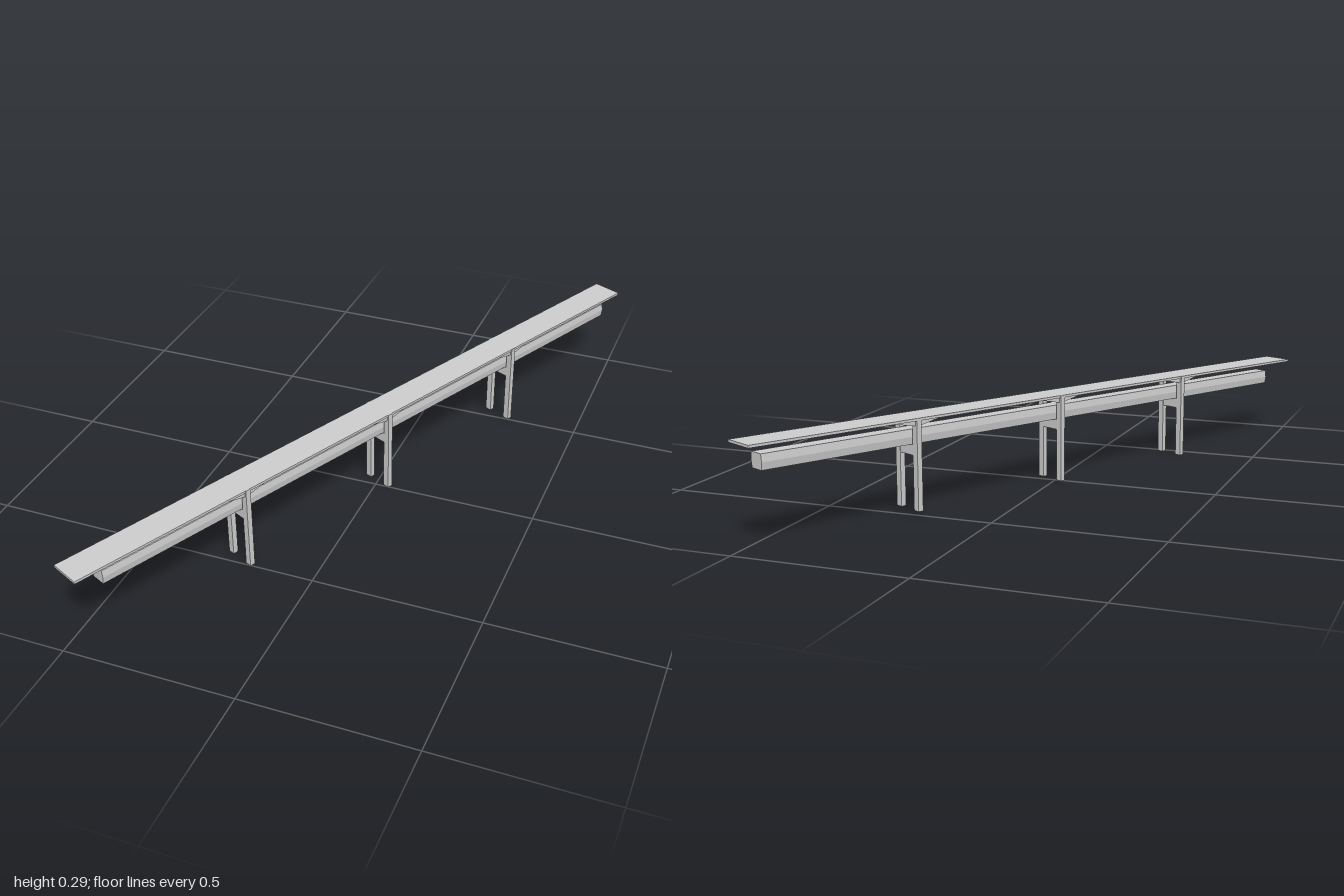
import * as THREE from 'three';

const SLOPE = 0.0178; // rise per unit of length, towards the back
const DECK_TOP = 0.2715, DECK_THICK = 0.0075;

export function createModel() {
  const model = new THREE.Group();
  const bridge = new THREE.Group();
  bridge.name = 'bridge';
  bridge.rotation.y = -0.4524; // the span runs diagonally
  model.add(bridge);

  const material = new THREE.MeshStandardMaterial({ color: 0xcccccc, flatShading: true });
  const incline = new THREE.Matrix4().set(1, 0, 0, 0, 0, 1, -SLOPE, 0, 0, 0, 1, 0, 0, 0, 0, 1);

  function add(parent, name, geometry, x = 0, y = 0, z = 0) {
    const mesh = new THREE.Mesh(geometry, material);
    mesh.name = name;
    mesh.position.set(x, y, z);
    parent.add(mesh);
    return mesh;
  }

  // Extrudes an outline along z, centred
  function prism(points, depth) {
    const shape = new THREE.Shape(points.map(([x, y]) => new THREE.Vector2(x, y)));
    return new THREE.ExtrudeGeometry(shape, { depth, bevelEnabled: false }).translate(0, 0, -depth / 2);
  }

  // Deck: long thin slab climbing towards the back
  add(bridge, 'deck', new THREE.BoxGeometry(0.094, DECK_THICK, 2.174).applyMatrix4(incline),
    0, DECK_TOP - DECK_THICK / 2, 0);

  // Girder: six-sided beam hung below the deck, parallel to it
  const section = [[-0.0215, -0.0215], [0.0215, -0.0215], [0.0245, 0],
    [0.0215, 0.0215], [-0.0215, 0.0215], [-0.0245, 0]];
  add(bridge, 'girder', prism(section, 2.03).translate(0, 0, -0.0225).applyMatrix4(incline), 0, 0.2168, 0);

  // Piers: two columns, a crossbar under the girder and a tapered head under the deck
  const haunch = [[-0.08, 0], [-0.012, -0.014], [0.012, -0.014], [0.08, 0]];
  for (const s of [-0.526, 0.015, 0.557]) {
    const pier = new THREE.Group();
    pier.name = 'pier';
    pier.position.set(0, SLOPE * s, -s);
    bridge.add(pier);

    const base = 0.0095;
    const height = DECK_TOP - 0.0005 - base;
    for (const side of [-1, 1]) {
      add(pier, side > 0 ? 'leftColumn' : 'rightColumn',
        new THREE.BoxGeometry(0.02, height, 0.016), side * 0.0385, base + height / 2, 0);
    }
    add(pier, 'crossbar', new THREE.BoxGeometry(0.06, 0.03, 0.014), 0, 0.1805, 0);
    add(pier, 'pierHead', prism(haunch, 0.086).rotateY(Math.PI / 2).applyMatrix4(incline),
      0, DECK_TOP - DECK_THICK, 0);
  }
  return model;
}
